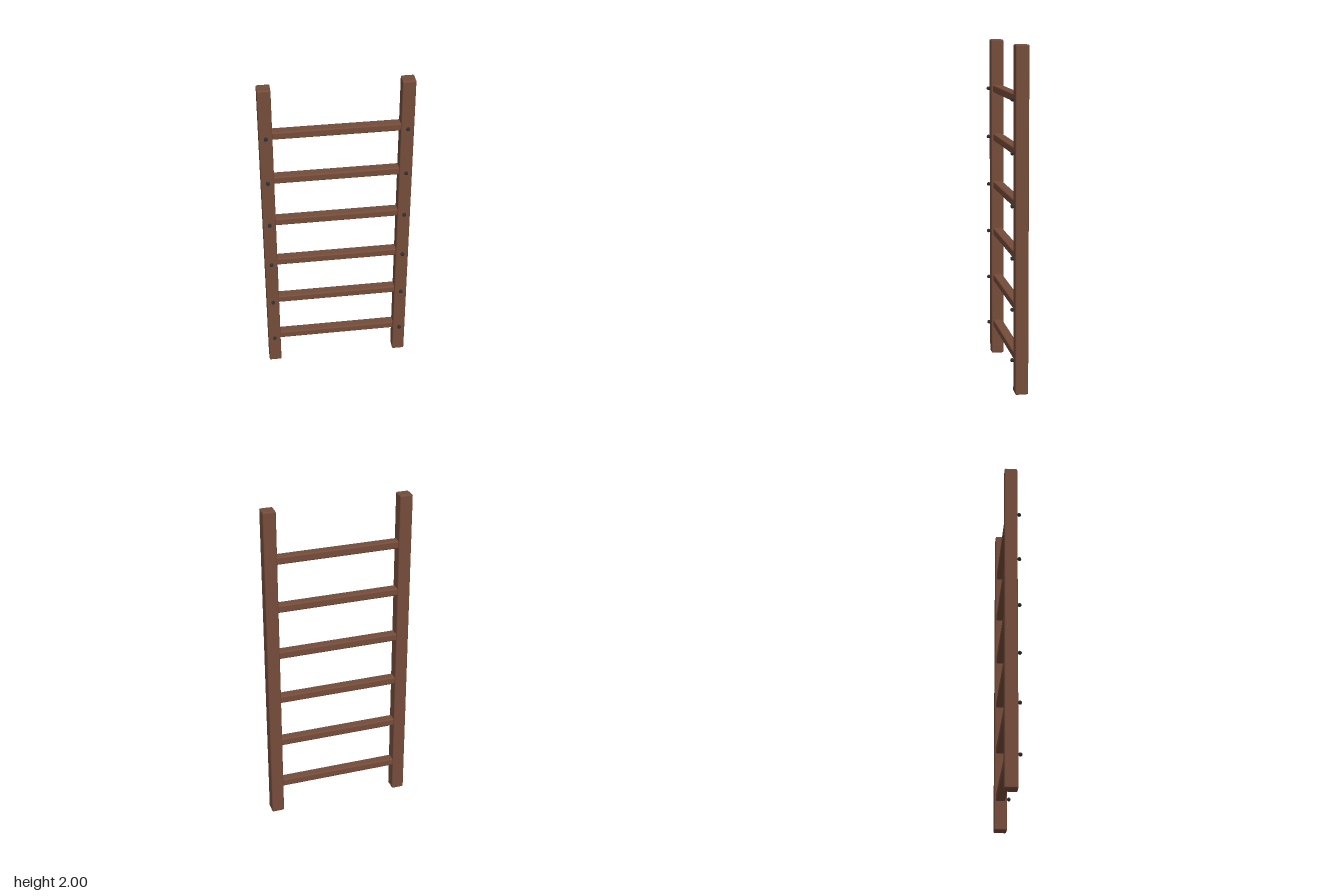
import * as THREE from 'three';
import { RoundedBoxGeometry } from 'three/addons/geometries/RoundedBoxGeometry.js';

export function createModel() {
  const wood = new THREE.MeshStandardMaterial({ color: 0x754c3a });
  wood.name = 'brown wood';
  const iron = new THREE.MeshStandardMaterial({ color: 0x2b2f33 });
  iron.name = 'dark iron';

  const ladder = new THREE.Group();
  ladder.name = 'ladder';
  const add = (name, geometry, material, x, y, z) => {
    const mesh = new THREE.Mesh(geometry, material);
    mesh.name = name;
    mesh.position.set(x, y, z);
    ladder.add(mesh);
  };

  const railGeometry = new RoundedBoxGeometry(0.076, 2, 0.076, 3, 0.008);
  const rungGeometry = new RoundedBoxGeometry(0.74, 0.046, 0.057, 3, 0.008);
  const boltGeometry = new THREE.SphereGeometry(0.0115, 12, 8);
  const sides = [['left', 0.4], ['right', -0.4]];
  const centreZ = -0.012;

  // Upright rails
  for (const [side, x] of sides) add(`${side}Rail`, railGeometry, wood, x, 1, centreZ);

  // Rungs, each with a round bolt head at both ends
  for (let i = 0; i < 6; i++) {
    const y = 0.2 + i * 0.3;
    add(`rung${i + 1}`, rungGeometry, wood, 0, y, -0.0135);
    for (const [side, x] of sides) add(`${side}Bolt${i + 1}`, boltGeometry, iron, x, y, 0.0385);
  }
  return ladder;
}
